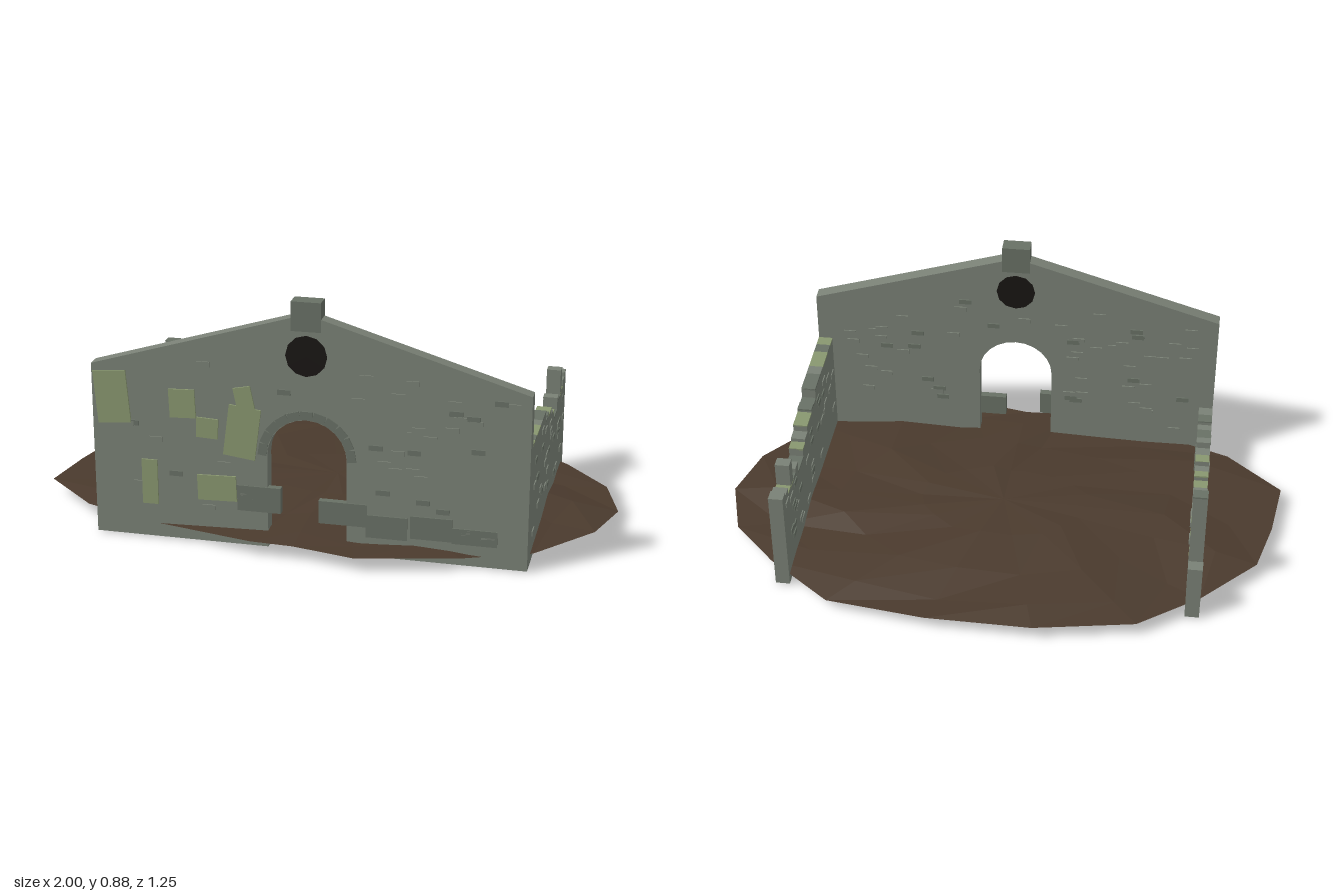
import * as THREE from 'three';

const mat = (color) => new THREE.MeshStandardMaterial({ color, flatShading: true });

export function createModel() {
  const model = new THREE.Group();
  model.name = 'ruinedChapel';
  const stone = mat(0x798075), darkStone = mat(0x687065), moss = mat(0x88966f);
  const dark = mat(0x181513), earth = mat(0x4a3a2d);
  earth.side = THREE.DoubleSide;

  // Small seeded generator for the scattered bricks
  let seed = 11;
  const rnd = () => (seed = (seed * 16807) % 2147483647) / 2147483647;

  const add = (name, geometry, material, x = 0, y = 0, z = 0, parent = model) => {
    const mesh = new THREE.Mesh(geometry, material);
    mesh.name = name;
    mesh.position.set(x, y, z);
    parent.add(mesh);
    return mesh;
  };
  const box = (name, w, h, d, x, y, z, material = stone, parent = model) =>
    add(name, new THREE.BoxGeometry(w, h, d), material, x, y, z, parent);
  const group = (name) => {
    const g = new THREE.Group();
    g.name = name;
    model.add(g);
    return g;
  };

  // Gable wall with an arched doorway
  const cx = 0.01, doorR = 0.135, springY = 0.335, frontZ = 0.495, backZ = 0.445;
  const wall = new THREE.Shape();
  wall.moveTo(cx - doorR, 0.005);
  wall.lineTo(-0.73, 0.005);
  wall.lineTo(-0.73, 0.612);
  wall.lineTo(cx - 0.03, 0.825);
  wall.lineTo(cx + 0.03, 0.825);
  wall.lineTo(0.75, 0.612);
  wall.lineTo(0.75, 0.005);
  wall.lineTo(cx + doorR, 0.005);
  wall.lineTo(cx + doorR, springY);
  wall.absarc(cx, springY, doorR, 0, Math.PI, false);
  wall.lineTo(cx - doorR, 0.005);
  add('gableWall', new THREE.ExtrudeGeometry(wall, {
    depth: frontZ - backZ, bevelEnabled: false, curveSegments: 6,
  }), stone, 0, 0, backZ);

  // Stub on the peak and the round window
  box('peakStone', 0.1, 0.1, 0.056, cx, 0.826, 0.471, darkStone);
  const oculus = add('roundWindow', new THREE.CylinderGeometry(0.07, 0.07, 0.056, 12), dark, cx, 0.692, 0.47);
  oculus.rotation.x = Math.PI / 2;

  // Wedge stones round the arch
  const arch = group('archStones');
  for (let i = 0; i < 11; i++) {
    const a = (Math.PI * (i + 0.5)) / 11;
    const s = box('archStone', 0.03, 0.042, 0.03, cx + Math.cos(a) * 0.151,
      springY + Math.sin(a) * 0.151, 0.484, darkStone, arch);
    s.rotation.z = a;
  }

  // Fallen blocks at the foot of the gable: x, y, width, height
  const blocks = group('looseBlocks');
  for (const [x, y, w, h] of [[-0.155, 0.175, 0.15, 0.09], [0.132, 0.15, 0.165, 0.08],
    [0.28, 0.115, 0.14, 0.08], [0.43, 0.125, 0.14, 0.08], [0.575, 0.108, 0.15, 0.055]]) {
    box('looseBlock', w, h, 0.025, x, y, 0.487, darkStone, blocks);
  }

  // Moss patches on the gable: x, y, width, height, tilt
  const patches = group('mossPatches');
  for (const [x, y, w, h, tilt] of [[-0.66, 0.5, 0.115, 0.185, 0.08], [-0.415, 0.495, 0.09, 0.1, 0.04],
    [-0.33, 0.415, 0.075, 0.07, -0.05], [-0.21, 0.41, 0.11, 0.18, -0.13], [-0.2, 0.52, 0.06, 0.1, 0.2],
    [-0.535, 0.205, 0.055, 0.16, 0], [-0.3, 0.203, 0.135, 0.09, 0.03]]) {
    box('mossPatch', w, h, 0.012, x, y, frontZ, moss, patches).rotation.z = tilt;
  }

  // Broken side walls: [z of the front end, top height] for each step
  const leftSteps = [[0.445, 0.43], [0.12, 0.391], [0.08, 0.397], [0.04, 0.385], [-0.04, 0.36],
    [-0.085, 0.347], [-0.125, 0.315], [-0.21, 0.358], [-0.25, 0.342], [-0.33, 0.348], [-0.37, 0.37], [-0.41, 0.385]];
  const rightSteps = [[0.445, 0.23], [0.36, 0.215], [0.3, 0.225], [0.24, 0.2], [0.16, 0.18], [0.1, 0.16],
    [0.02, 0.145], [-0.06, 0.15], [-0.12, 0.12], [-0.2, 0.1], [-0.29, 0.435], [-0.33, 0.09], [-0.41, 0.22]];
  const topAt = (steps, z) => steps.filter(([start]) => start >= z).pop()[1];
  const sideWall = (name, x, steps) => {
    const s = new THREE.Shape();
    const g = group(name + 'Bricks');
    s.moveTo(-0.445, 0.005);
    steps.forEach(([z, top], i) => {
      const end = i + 1 < steps.length ? steps[i + 1][0] : -0.453;
      s.lineTo(-z, top);
      s.lineTo(-end, top);
      // Cap stones let into the top of each step
      const count = Math.ceil((z - end) / 0.05), len = (z - end) / count;
      for (let k = 0; k < count; k++) {
        const last = i === steps.length - 1;
        box('capStone', 0.051, 0.006, len, x, top - 0.002, z - len * (k + 0.5),
          last ? stone : [moss, darkStone, stone][Math.floor(rnd() * 3)], g);
      }
    });
    s.lineTo(0.453, 0.005);
    const geo = new THREE.ExtrudeGeometry(s, { depth: 0.05, bevelEnabled: false });
    geo.translate(0, 0, -0.025);
    geo.rotateY(Math.PI / 2);
    add(name, geo, stone, x);

    // Bricks standing proud of both faces
    for (let i = 0; i < 75; i++) {
      const z = 0.4 - rnd() * 0.8, y = 0.09 + rnd() * 0.31, side = i % 2 ? 1 : -1;
      const limit = Math.min(topAt(steps, z + 0.025), topAt(steps, z - 0.025));
      if (y > limit - 0.015) continue;
      box('brick', 0.007, 0.018, 0.042, x + side * 0.025, y, z, rnd() < 0.4 ? darkStone : stone, g);
    }
  };
  sideWall('leftWall', 0.725, leftSteps);
  sideWall('rightWall', -0.705, rightSteps);

  // Thin post left standing on the left wall
  box('leftPost', 0.05, 0.1, 0.04, 0.725, 0.385, -0.31);

  // Bricks standing proud of both faces of the gable
  const bricks = group('gableBricks');
  for (let i = 0; i < 150; i++) {
    const x = -0.69 + rnd() * 1.4, y = 0.1 + rnd() * 0.55, face = i % 2 ? frontZ : backZ;
    const dx = Math.abs(x - cx);
    if ((dx < 0.2 && y < 0.53) || (dx < 0.11 && y > 0.58) || y > 0.78 - dx * 0.3) continue;
    if (face === frontZ && x < -0.1 && rnd() < 0.6) continue;
    box('brick', 0.045, 0.018, 0.009, x, y, face, rnd() < 0.3 ? darkStone : stone, bricks);
  }

  // Flat pebbles under the foot of the side walls
  const pebbles = group('pebbles');
  for (const [x, z] of [[0.745, 0.085], [0.745, -0.075], [0.725, -0.36], [-0.735, 0.1], [-0.735, -0.15]]) {
    add('pebble', new THREE.IcosahedronGeometry(0.018, 1), darkStone, x, 0.01, z, pebbles).scale.set(2, 0.55, 1);
  }

  // Uneven mound of earth: rim outline as x, z, lofted in rings from underside to top
  const rim = [[1, 0], [0.94, 0.2], [0.76, 0.42], [0.53, 0.53], [0.2, 0.62], [-0.02, 0.575], [-0.17, 0.575],
    [-0.53, 0.49], [-0.8, 0.39], [-1, 0.21], [-0.97, -0.01], [-0.92, -0.21], [-0.73, -0.41],
    [-0.52, -0.56], [-0.17, -0.625], [0.2, -0.615], [0.55, -0.56], [0.78, -0.38], [0.94, -0.21]];
  // Each ring: scale, height, roughness, droop towards +x
  const rings = [[0, 0.036, 0, 0], [0.9, 0.034, 0, 0], [1, 0.053, 0.002, 0.018], [0.84, 0.06, 0.011, 0.012],
    [0.6, 0.07, 0.008, 0], [0.3, 0.083, 0.004, 0], [0, 0.086, 0, 0]];
  const n = rim.length, pos = [], index = [];
  rings.forEach(([k, y, rough, droop], r) => rim.forEach(([x, z], i) => {
    const sag = droop * Math.max(0, x);
    pos.push(x * k, y - sag + rough * Math.cos(i * 2.3 + (r - 3) * 1.7), z * k);
    if (r === 0) return;
    const j = (i + 1) % n, a = (r - 1) * n + i, b = (r - 1) * n + j, c = r * n + i, d = r * n + j;
    if (r > 1) index.push(a, c, b);
    if (r < rings.length - 1) index.push(b, c, d);
  }));
  const ground = new THREE.BufferGeometry();
  ground.setAttribute('position', new THREE.Float32BufferAttribute(pos, 3));
  ground.setIndex(index);
  ground.computeVertexNormals();
  add('earthMound', ground, earth);

  return model;
}
